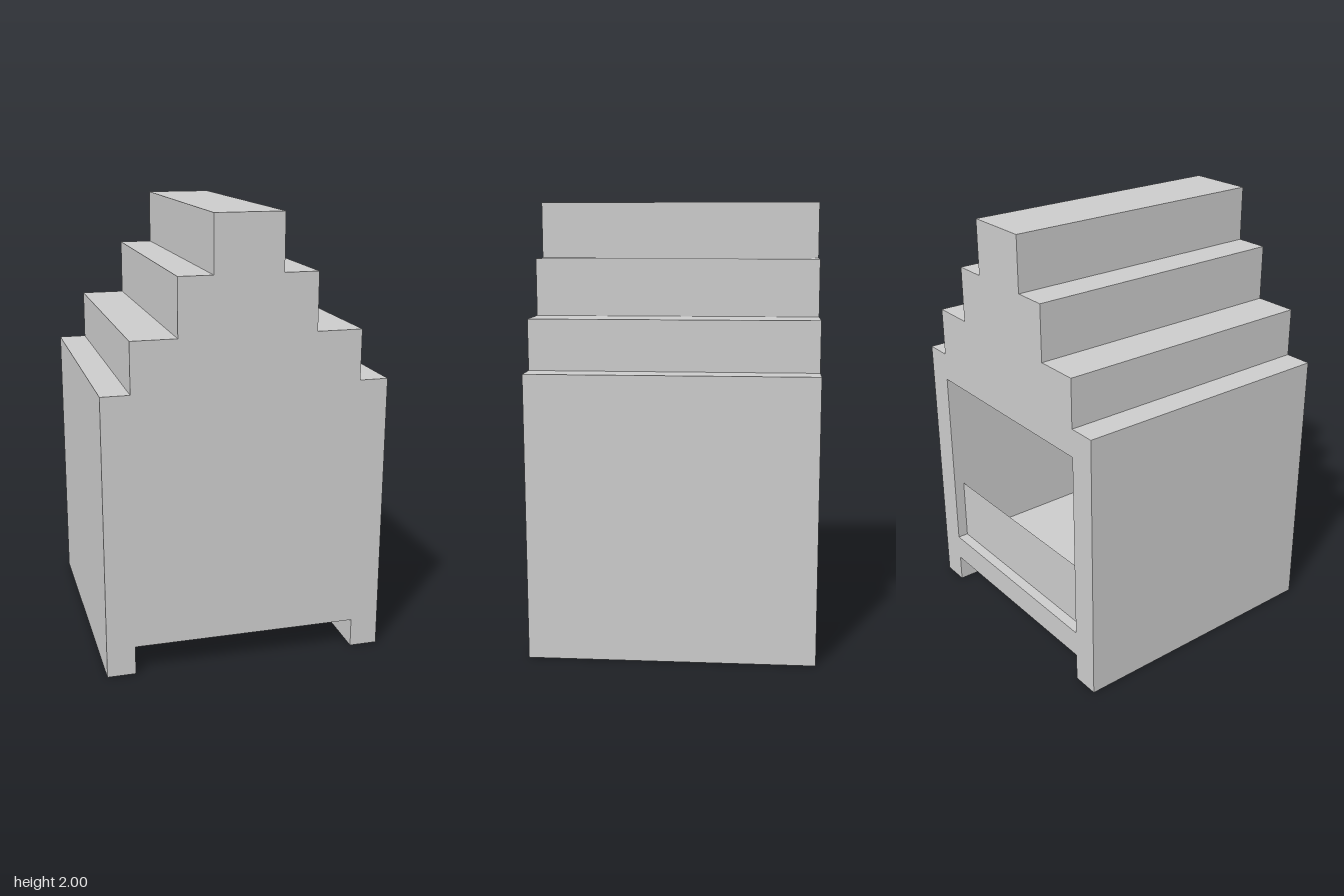
import * as THREE from 'three';

const HALF = 0.633;   // half width and half depth of the house
const INNER = 0.506;  // half width of the room and inner face of the front wall

// Stepped gable outline with two side runners below
function gableShape() {
  const right = [
    [INNER, 0.13], [INNER, 0], [HALF, 0], [HALF, 1.27], [INNER, 1.27],
    [INNER, 1.495], [0.304, 1.495], [0.304, 1.75], [0.152, 1.75], [0.152, 2],
  ];
  const left = right.map(([x, y]) => [-x, y]).reverse();
  return new THREE.Shape([...right, ...left].map(([x, y]) => new THREE.Vector2(x, y)));
}

export function createModel() {
  const group = new THREE.Group();
  const grey = new THREE.MeshStandardMaterial({ color: 0xcccccc, flatShading: true });

  const add = (name, geometry, z, material = grey) => {
    const mesh = new THREE.Mesh(geometry, material);
    mesh.name = name;
    mesh.position.z = z;
    group.add(mesh);
    return mesh;
  };
  const extrude = (shape, depth) =>
    new THREE.ExtrudeGeometry(shape, { depth, bevelEnabled: false });

  // House body: the room is open at the back
  const body = gableShape();
  body.holes.push(new THREE.Path([
    new THREE.Vector2(-INNER, 0.253), new THREE.Vector2(-INNER, 1.14),
    new THREE.Vector2(INNER, 1.14), new THREE.Vector2(INNER, 0.253),
  ]));
  add('houseBody', extrude(body, HALF + INNER), -HALF);

  // Closed front wall
  add('frontWall', extrude(gableShape(), HALF - INNER), INNER);

  // Thin low board just inside the back opening
  const thin = grey.clone();
  thin.side = THREE.DoubleSide;
  const board = add('lowBoard', new THREE.PlaneGeometry(2 * INNER, 0.302), -HALF + 0.05, thin);
  board.position.y = 0.253 + 0.151;
  board.rotation.y = Math.PI;

  return group;
}
